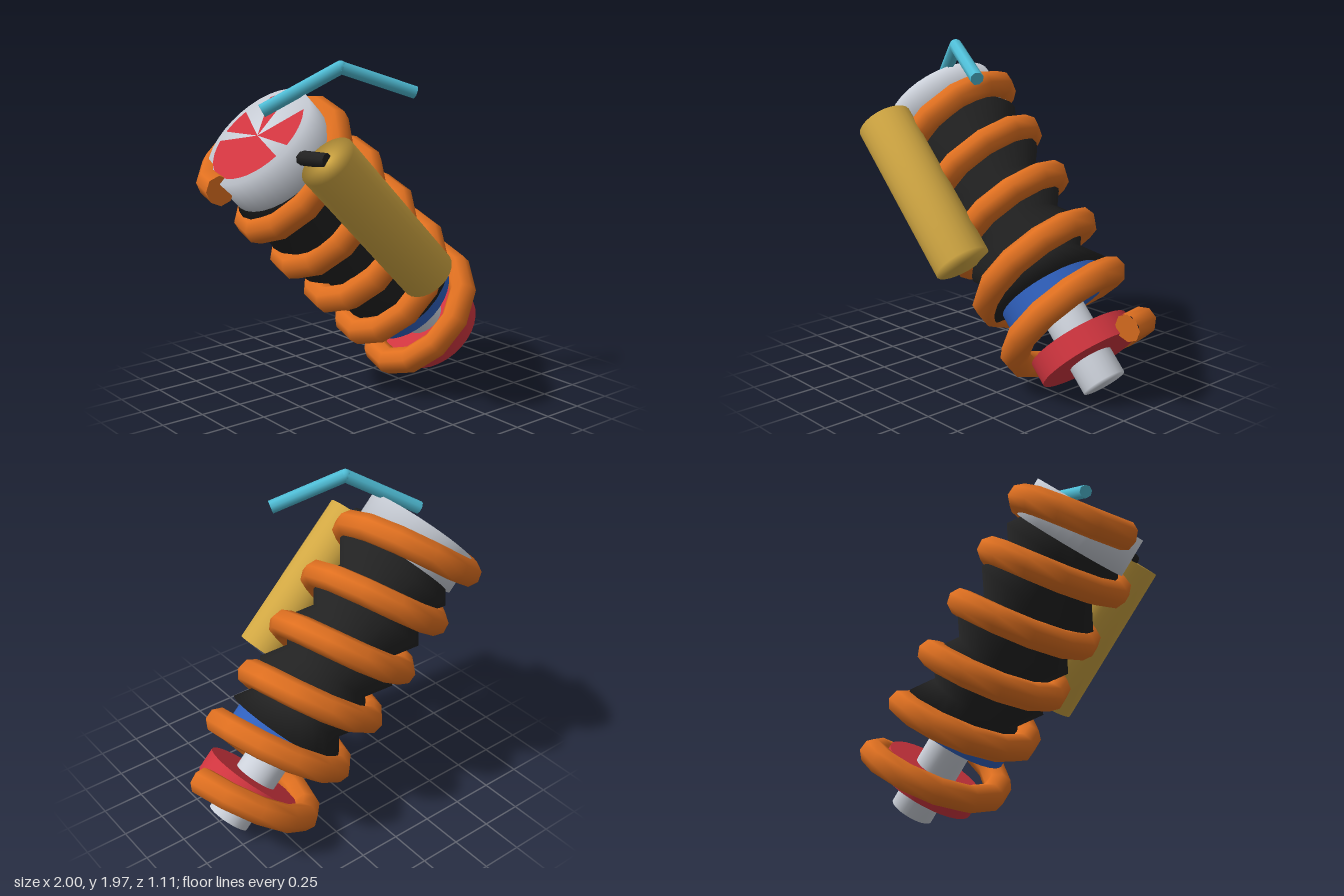
import * as THREE from 'three';
import { mergeVertices } from 'three/addons/utils/BufferGeometryUtils.js';

const mat = (name, color) => {
  const m = new THREE.MeshStandardMaterial({ color });
  m.name = name;
  return m;
};

// Shared vertices give soft shading over the rims
function softCylinder(r, h, sides) {
  const g = new THREE.CylinderGeometry(r, r, h, sides);
  g.deleteAttribute('normal');
  g.deleteAttribute('uv');
  const soft = mergeVertices(g, 1e-4);
  soft.computeVertexNormals();
  return soft;
}

class Helix extends THREE.Curve {
  constructor(radius, top, bottom, turns) {
    super();
    Object.assign(this, { radius, top, bottom, turns });
  }
  getPoint(t, target = new THREE.Vector3()) {
    const a = t * this.turns * Math.PI * 2;
    return target.set(-this.radius * Math.cos(a),
      this.top + (this.bottom - this.top) * t, -this.radius * Math.sin(a));
  }
}

export function createModel() {
  const silver = mat('silver', 0xcdd2db), red = mat('red', 0xd0353f);
  const orange = mat('orange', 0xe07020), black = mat('black', 0x222222);
  const blue = mat('blue', 0x2f60bd), gold = mat('gold', 0xd2a843);
  const cyan = mat('cyan', 0x50bfd8);

  const model = new THREE.Group();
  model.name = 'shockAbsorber';

  const add = (parent, name, geometry, material, x = 0, y = 0, z = 0) => {
    const mesh = new THREE.Mesh(geometry, material);
    mesh.name = name;
    mesh.position.set(x, y, z);
    parent.add(mesh);
    return mesh;
  };

  // Cylinder joining two points
  const rod = (name, a, b, r, sides, material) => {
    const d = b.clone().sub(a);
    const mesh = add(model, name, new THREE.CylinderGeometry(r, r, d.length(), sides), material);
    mesh.position.copy(a).add(b).multiplyScalar(0.5);
    mesh.quaternion.setFromUnitVectors(new THREE.Vector3(0, 1, 0), d.normalize());
    return mesh;
  };

  // Leaning body: local y runs up the damper axis
  const body = new THREE.Group();
  body.name = 'damperBody';
  body.position.set(0.437, 0.437, -0.11);
  body.rotation.z = THREE.MathUtils.degToRad(44.4);
  model.add(body);

  add(body, 'pistonRod', softCylinder(0.13, 0.65, 24), silver, 0, -0.125);
  add(body, 'lowerSpringSeat', new THREE.CylinderGeometry(0.305, 0.305, 0.135, 32), red, 0, -0.228);
  add(body, 'adjusterRing', new THREE.CylinderGeometry(0.315, 0.315, 0.12, 32), blue, 0, 0.12);
  add(body, 'topCap', softCylinder(0.345, 0.23, 32), silver, 0, 1.48);

  // Red wedges on the top cap
  for (const [from, to] of [[0, 30], [62, 92], [105, 250], [265, 315]]) {
    const wedge = new THREE.CircleGeometry(0.305, 16, THREE.MathUtils.degToRad(from),
      THREE.MathUtils.degToRad(to - from));
    add(body, 'capWedge', wedge.rotateX(-Math.PI / 2), red, 0, 1.598);
  }

  // Pleated sleeve, alternating ridges and troughs
  const profile = [new THREE.Vector2(0.1, 0.17)];
  for (let i = 0; i < 10; i++) {
    profile.push(new THREE.Vector2(i % 2 ? 0.275 : 0.37, 0.17 + i * 0.14));
  }
  add(body, 'bellows', new THREE.LatheGeometry(profile, 24), black);

  // Coil spring with closed ends
  const helix = new Helix(0.37, 1.57, -0.3, 5.5);
  add(body, 'coilSpring', new THREE.TubeGeometry(helix, 66, 0.082, 8, false), orange);
  for (const [t, sign] of [[0, -1], [1, 1]]) {
    const end = add(body, 'springEnd', new THREE.CircleGeometry(0.082, 8), orange);
    end.position.copy(helix.getPointAt(t));
    end.quaternion.setFromUnitVectors(new THREE.Vector3(0, 0, 1),
      helix.getTangentAt(t).multiplyScalar(sign));
  }

  // Side reservoir and its connector
  const reservoir = add(model, 'reservoir', softCylinder(0.163, 1.0, 24), gold, -0.23, 1.13, 0.39);
  reservoir.rotation.z = THREE.MathUtils.degToRad(44.6);
  rod('reservoirHose', new THREE.Vector3(-0.66, 1.49, 0.1),
    new THREE.Vector3(-0.585, 1.49, 0.39), 0.04, 8, black);

  // Bent lever above the cap
  const p = [[-0.65, 1.71, -0.11], [-0.27, 1.94, 0.1], [0.12, 1.795, 0.275]]
    .map((v) => new THREE.Vector3(...v));
  rod('leverInner', p[0], p[1], 0.038, 8, cyan);
  rod('leverOuter', p[1], p[2], 0.038, 8, cyan);
  add(model, 'leverBend', new THREE.SphereGeometry(0.038, 10, 8), cyan, p[1].x, p[1].y, p[1].z);

  return model;
}
